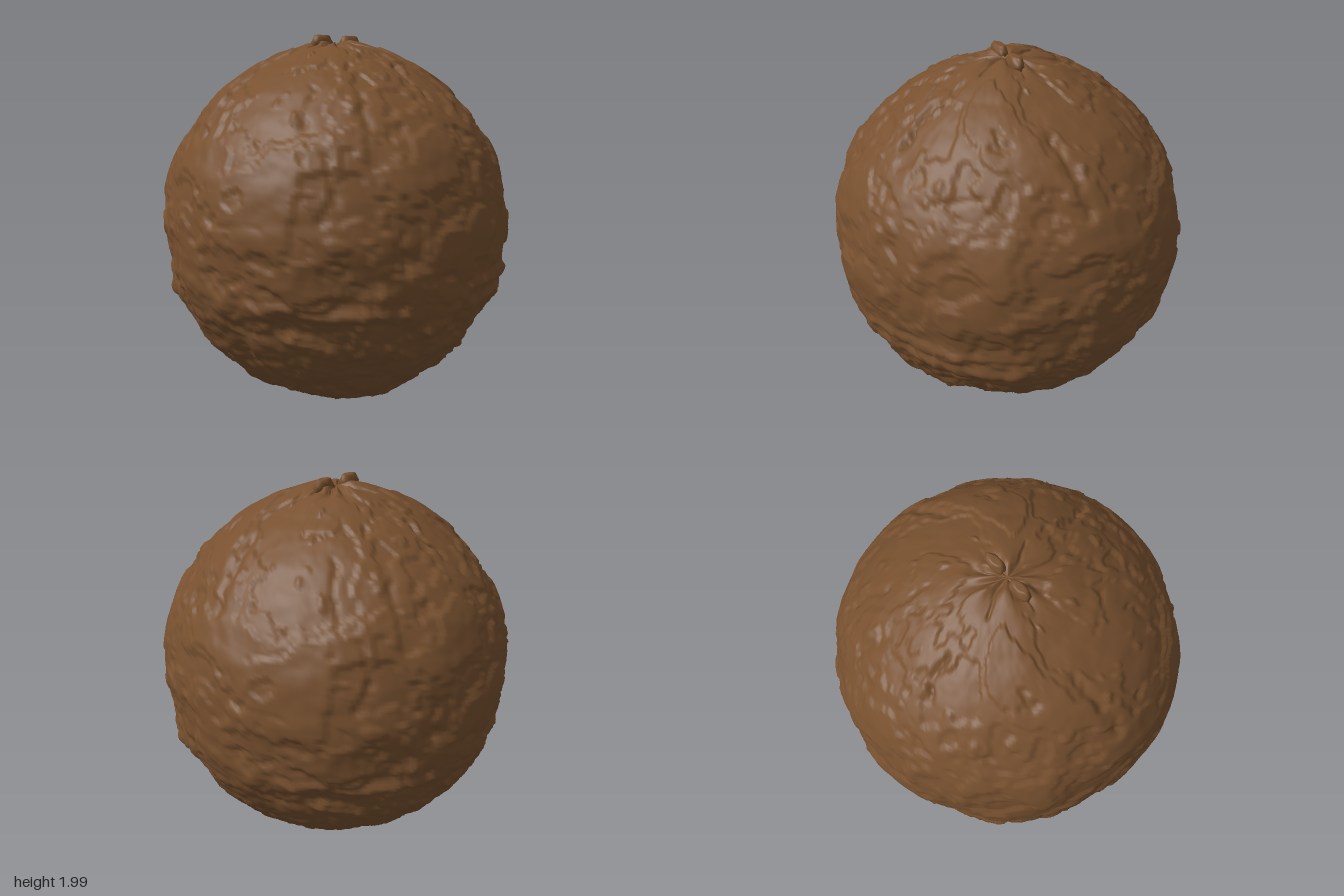
import * as THREE from 'three';
import { mergeVertices } from 'three/addons/utils/BufferGeometryUtils.js';

const { lerp, smoothstep, clamp } = THREE.MathUtils;

// Seeded value noise in three dimensions, about -1..1
function hash(x, y, z) {
  let h = Math.imul(x, 374761393) ^ Math.imul(y, 668265263) ^ Math.imul(z, 1274126177);
  h = Math.imul(h ^ (h >>> 13), 1103515245);
  return ((h ^ (h >>> 16)) >>> 0) / 2147483648 - 1;
}
function noise(x, y, z) {
  const i = Math.floor(x), j = Math.floor(y), k = Math.floor(z);
  const s = (t) => t * t * (3 - 2 * t);
  const u = s(x - i), v = s(y - j), w = s(z - k);
  const row = (b, c) => lerp(hash(i, b, c), hash(i + 1, b, c), u);
  const sheet = (c) => lerp(row(j, c), row(j + 1, c), v);
  return lerp(sheet(k), sheet(k + 1), w);
}
function fractal(x, y, z, octaves) {
  let sum = 0, amp = 0.5;
  for (let o = 0; o < octaves; o++, amp *= 0.5) {
    sum += amp * noise(x, y, z);
    x = x * 2.03 + 11.3; y = y * 2.03 + 4.7; z = z * 2.03 + 7.1;
  }
  return sum;
}

// Distance from the centre at each height: [y / radius, distance]
const PROFILE = [[-1, 0.965], [-0.94, 0.975], [-0.82, 0.96], [-0.66, 0.95], [-0.5, 0.943],
  [-0.37, 0.948], [-0.2, 0.932], [0, 0.935], [0.2, 0.938], [0.5, 0.938], [0.8, 0.934], [0.92, 0.935], [1, 0.97]];
function profile(c) {
  const i = clamp(PROFILE.findIndex((p) => p[0] >= c), 1, PROFILE.length - 1);
  const [a, b] = [PROFILE[i - 1], PROFILE[i]];
  return lerp(a[1], b[1], clamp((c - a[0]) / (b[0] - a[0]), 0, 1));
}

// Cracks and gouges: angle and height of both ends, width, depth
const CRACKS = [
  [-0.03, 1.75, -0.03, 1.38, 0.016, 0.016], [0.1, 1.42, 0.16, 1.2, 0.016, 0.014],
  [0.34, 1.7, 0.36, 1.5, 0.025, 0.012], [0.5, 1.05, 0.52, 0.86, 0.02, 0.016],
  [1.3, 1.52, 1.7, 1.58, 0.014, 0.01], [-0.6, 1.25, -0.55, 1.08, 0.014, 0.01],
  [0.96, 1.69, 0.92, 1.83, 0.02, 0.03], [-0.9, 1.78, -0.78, 1.5, 0.03, 0.016],
  [-0.55, 1.08, -0.25, 1.07, 0.014, 0.007], [-0.4, 1.82, 0.4, 1.83, 0.014, 0.008],
  [-0.5, 0.45, -0.35, 0.2, 0.02, 0.02], [1.55, 0.4, 1.58, 0.06, 0.025, 0.02],
];
// Swellings and hollows: angle, height, width across, width up, amount
const LUMPS = [
  [0.05, 1.0, 0.4, 0.08, 0.008], [-0.27, 0.58, 0.16, 0.05, -0.012], [0.25, 0.66, 0.2, 0.03, 0.01],
  [1.57, 0.64, 0.3, 0.05, 0.016], [1.4, 0.75, 0.4, 0.03, 0.012], [0, 0.68, 0.35, 0.04, 0.012],
  [1.4, 0.05, 0.09, 0.04, 0.035], [1.2, 0.3, 0.15, 0.06, 0.015], [0.1, 0.3, 0.2, 0.05, 0.014],
];
// Angle difference; the relief repeats every half turn
const turn = (a) => a - Math.PI * Math.round(a / Math.PI);

function carve(phi, c, s) {
  const lat = Math.asin(clamp(c, -1, 1));
  const toLat = (y) => Math.asin(clamp((y - 1) / 0.94, -1, 1));
  let d = 0;
  for (const [p0, y0, p1, y1, width, depth] of CRACKS) {
    const ax = turn(phi - p0) * s, ay = lat - toLat(y0);
    const bx = (p1 - p0) * s, by = toLat(y1) - toLat(y0);
    const t = clamp((ax * bx + ay * by) / (bx * bx + by * by), 0, 1);
    const wobble = 0.025 * noise(phi * 9 + p0 * 20, lat * 14, 3);
    const dist = Math.hypot(ax - bx * t + wobble, ay - by * t + wobble);
    d -= depth * Math.exp(-((dist / width) ** 2));
  }
  for (const [p, y, across, up, amount] of LUMPS) {
    const q = (turn(phi - p) * s / across) ** 2 + ((lat - toLat(y)) / up) ** 2;
    d += amount * (1 - smoothstep(q, 0.3, 2.2));
  }
  return d;
}

// Surface distance in a unit direction
function surface(x, y, z) {
  const s = Math.hypot(x, z), phi = Math.atan2(x, z);
  const u = s * Math.sin(2 * phi), w = s * Math.cos(2 * phi);
  const rough = 1 - smoothstep(y, -0.35, -0.05);
  let r = profile(y);
  // broad plates
  r += 0.016 * fractal(u * 2 + 5, y * 4, w * 2 + 5, 3);
  // flat layers with torn edges
  const plate = fractal(u * 2.2 + 20, y * 5 + 3, w * 2.2, 4);
  r += 0.012 * (smoothstep(plate, 0.1, 0.14) - smoothstep(-plate, 0.12, 0.16));
  // horizontal strata
  const warp = 0.5 * noise(u * 2, y * 3, w * 2);
  r += (0.005 + 0.012 * rough) * fractal(u * 2.5, y * 13 + warp, w * 2.5 + 40, 3);
  // crumbly lower half
  r += 0.022 * rough * fractal(u * 6 + 9, y * 12, w * 6, 4);
  r += 0.003 * fractal(u * 14, y * 16, w * 14, 2);
  return r + carve(phi, y, s);
}

// Radial folds meeting at both poles
function poleFold(x, y, z) {
  const phi = Math.atan2(x, z), s = Math.hypot(x, z);
  return 0.012 * Math.cos(phi * 8 + 2 * Math.sin(phi * 2)) * smoothstep(s, 0, 0.06) * (1 - smoothstep(s, 0.06, 0.3));
}

function relief(geometry, place) {
  geometry.deleteAttribute('uv');
  geometry.deleteAttribute('normal');
  const g = mergeVertices(geometry, 1e-5);
  const pos = g.attributes.position, v = new THREE.Vector3();
  for (let i = 0; i < pos.count; i++) {
    place(v.fromBufferAttribute(pos, i));
    pos.setXYZ(i, v.x, v.y, v.z);
  }
  g.computeVertexNormals();
  return g;
}

export function createModel() {
  const group = new THREE.Group();
  group.name = 'rockBall';
  const brown = new THREE.MeshStandardMaterial({ color: 0x77502f });
  brown.name = 'earth brown';

  // Weathered ball
  const ball = new THREE.Mesh(relief(new THREE.SphereGeometry(1, 300, 200), (v) => {
    v.normalize();
    const r = surface(v.x, v.y, v.z) + poleFold(v.x, v.y, v.z);
    v.multiplyScalar(r);
    v.y = clamp(v.y + 1, 0.005, 1.985);
  }), brown);
  ball.name = 'ball';
  group.add(ball);

  // Pair of small knobs on the crown
  for (const side of [1, -1]) {
    const knob = new THREE.Mesh(relief(new THREE.SphereGeometry(1, 24, 16), (v) => {
      v.multiplyScalar(1 + 0.15 * noise(v.x * 2 + 3, v.y * 2, v.z * 2));
      v.y = clamp(v.y, -0.8, 0.8);
    }), brown);
    knob.name = side > 0 ? 'leftCrownKnob' : 'rightCrownKnob';
    knob.scale.set(0.062, 0.05, 0.034);
    knob.position.set(0.065 * side, 1.96, -0.06 * side);
    knob.rotation.y = Math.PI / 4 + (side < 0 ? Math.PI : 0);
    group.add(knob);
  }
  return group;
}
